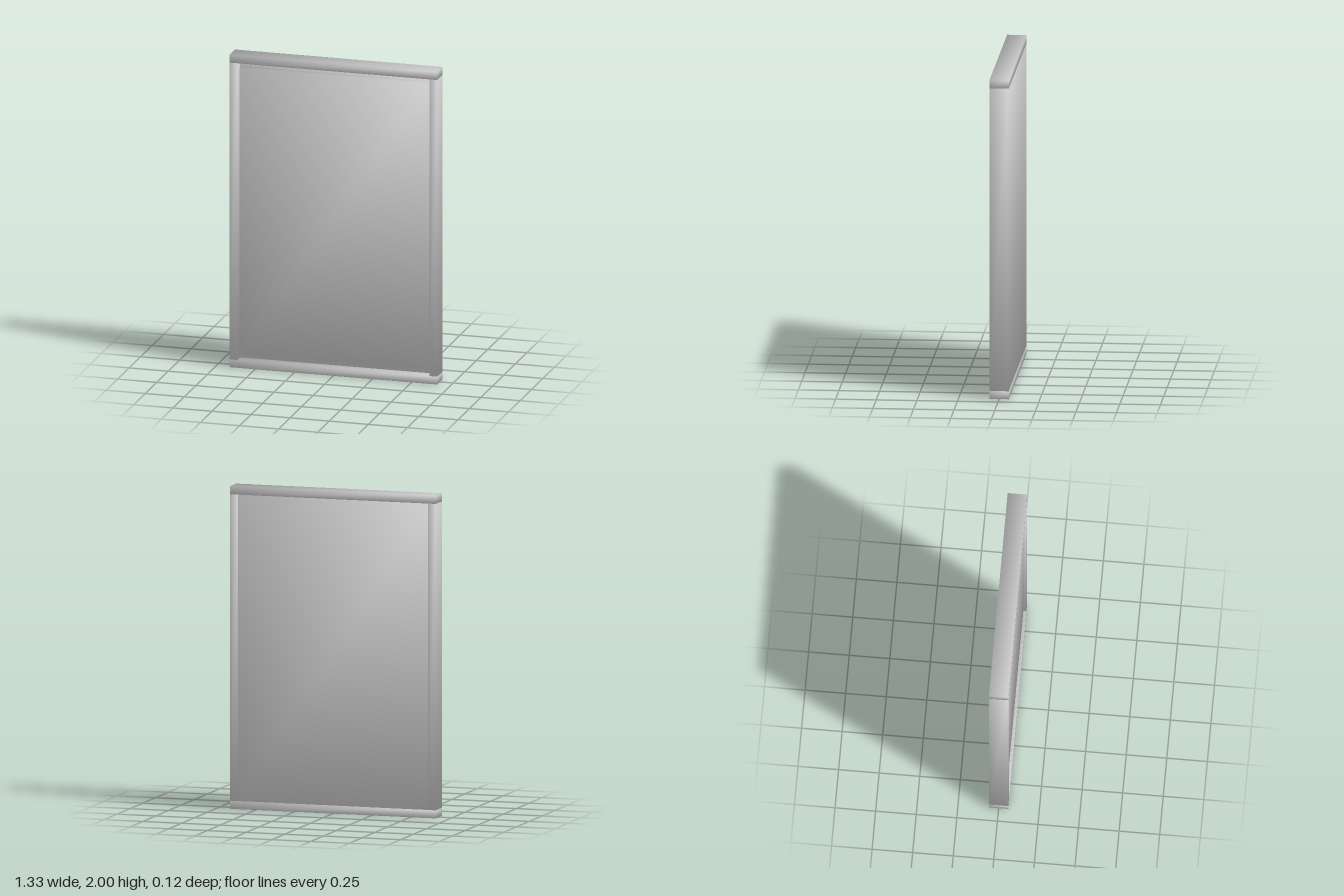
import * as THREE from 'three';
import { mergeVertices } from 'three/addons/utils/BufferGeometryUtils.js';

const W = 0.665, H = 2, D = 0.06; // half width, height, half depth
const RAIL = 0.05;

// Box with shared corner normals, giving softly shaded faces
function softBox(w, h, d) {
  const box = new THREE.BoxGeometry(w, h, d);
  box.deleteAttribute('normal');
  box.deleteAttribute('uv');
  const geo = mergeVertices(box);
  const normals = geo.attributes.position.clone();
  const n = new THREE.Vector3();
  for (let i = 0; i < normals.count; i++) {
    n.fromBufferAttribute(normals, i);
    n.set(Math.sign(n.x), Math.sign(n.y), Math.sign(n.z)).normalize();
    normals.setXYZ(i, n.x, n.y, n.z);
  }
  geo.setAttribute('normal', normals);
  return geo;
}

export function createModel() {
  const group = new THREE.Group();
  const material = new THREE.MeshStandardMaterial({ color: 0xcccccc });

  // Adds a box given by its minimum and maximum corners
  function part(name, x0, x1, y0, y1, z0, z1) {
    const mesh = new THREE.Mesh(softBox(x1 - x0, y1 - y0, z1 - z0), material);
    mesh.position.set((x0 + x1) / 2, (y0 + y1) / 2, (z0 + z1) / 2);
    mesh.name = name;
    group.add(mesh);
  }

  // Frame: full-width rails above and below, side rails between them
  part('topRail', -W, W, H - RAIL, H, -D, D);
  part('bottomRail', -W, W, 0, RAIL, -D, D);
  part('leftRail', W - RAIL, W, RAIL, H - RAIL, -D, D);
  part('rightRail', -W, -W + RAIL, RAIL, H - RAIL, -D, D);

  // Backing board, almost flush with the back of the frame
  const gap = 0.001;
  part('backBoard', -W + gap, W - gap, gap, H - gap, -D + gap, 0);

  // Raised front panel, set a little behind the frame's face
  part('frontPanel', -0.605, 0.605, 0.083, 1.917, -0.01, 0.042);

  return group;
}
